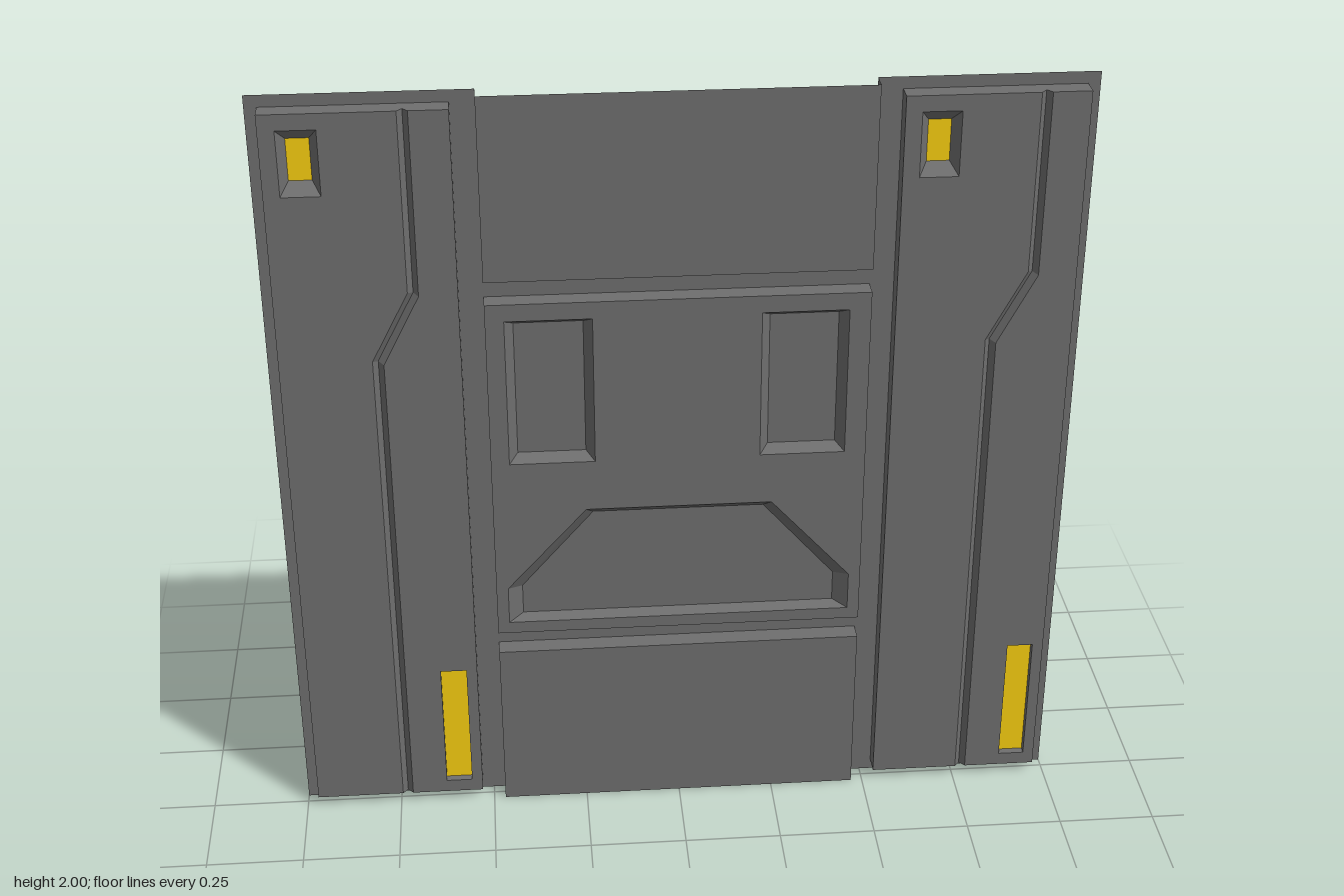
import * as THREE from 'three';

const BACK = -0.025, FRONT = 0.025; // depth of the frame and of the raised plates

const steel = new THREE.MeshStandardMaterial({ color: 0x6e6e6e, flatShading: true, side: THREE.DoubleSide });
const yellow = new THREE.MeshStandardMaterial({ color: 0xf5cc10, flatShading: true, side: THREE.DoubleSide });

const rect = (x0, y0, x1, y1) => [[x0, y0], [x1, y0], [x1, y1], [x0, y1]];
const atDepth = (pts, z) => pts.map(([x, y]) => [x, y, z]);

function add(group, name, geometry, material = steel) {
  const mesh = new THREE.Mesh(geometry, material);
  mesh.name = name;
  group.add(mesh);
}

// Flat sheet with optional holes
function sheet(group, name, pts, z, holes = [], material = steel) {
  const toVec = (list) => list.map(([x, y]) => new THREE.Vector2(x, y));
  const shape = new THREE.Shape(toVec(pts));
  shape.holes = holes.map((h) => new THREE.Path(toVec(h)));
  add(group, name, new THREE.ShapeGeometry(shape).translate(0, 0, z), material);
}

// Band of quads between two rows of 3D points
function loft(group, name, a, b, closed = true) {
  const pos = [];
  for (let i = 0; i < a.length - (closed ? 0 : 1); i++) {
    const j = (i + 1) % a.length;
    pos.push(...a[i], ...a[j], ...b[j], ...a[i], ...b[j], ...b[i]);
  }
  const g = new THREE.BufferGeometry();
  g.setAttribute('position', new THREE.Float32BufferAttribute(pos, 3));
  g.computeVertexNormals();
  add(group, name, g);
}

// Recess sunk into a plate: sloping sides and a floor
function recess(group, name, outer, inner, depth, material = steel) {
  loft(group, name + 'Sides', atDepth(outer, FRONT), atDepth(inner, FRONT - depth));
  sheet(group, name + 'Floor', inner, FRONT - depth, [], material);
}

function makePillar(name, x) {
  const g = new THREE.Group();
  g.name = name;
  g.position.x = x;
  const [l, r, b, t] = [-0.22, 0.22, 0.03, 1.97];

  // Bent V groove running from top to bottom
  const left = [[0.1, t], [0.1, 1.51], [0.006, 1.33], [0.006, b]];
  const mid = [[0.113, t], [0.113, 1.505], [0.019, 1.325], [0.019, b]];
  const right = [[0.126, t], [0.126, 1.5], [0.033, 1.32], [0.033, b]];
  const groove = atDepth(mid, FRONT - 0.015);
  loft(g, 'grooveLeft', atDepth(left, FRONT), groove, false);
  loft(g, 'grooveRight', groove, atDepth(right, FRONT), false);

  // Front plate on both sides of the groove, with openings for the lights
  const topLight = rect(-0.18, 1.765, -0.085, 1.93);
  const lowLight = rect(0.125, 0.065, 0.192, 0.418);
  sheet(g, 'plateLeft', [[l, b], ...[...left].reverse(), [l, t]], FRONT, [topLight]);
  sheet(g, 'plateRight', [[r, t], ...right, [r, b]], FRONT, [lowLight]);
  recess(g, 'topLight', topLight, rect(-0.16, 1.795, -0.105, 1.9), 0.03, yellow);
  recess(g, 'lowLight', lowLight, lowLight, 0.02, yellow);

  // Side walls, notched where the groove runs out
  const rim = [
    [l, b, FRONT], [...left[3], FRONT], groove[3], [...right[3], FRONT], [r, b, FRONT],
    [r, t, FRONT], [...right[0], FRONT], groove[0], [...left[0], FRONT], [l, t, FRONT],
  ];
  loft(g, 'pillarWalls', rim.map(([px, py]) => [px, py, BACK]), rim);
  return g;
}

function makeCentre() {
  const g = new THREE.Group();
  g.name = 'centrePanels';
  const w = 0.47;

  // Upper and lower plates, open at the outer ends
  const upper = [[-w, 2], [-w, 1.53], [w, 1.53], [w, 2]];
  const lower = [[w, 0], [w, 0.47], [-w, 0.47], [-w, 0]];
  for (const [name, pts] of [['upperPlate', upper], ['lowerPlate', lower]]) {
    sheet(g, name, pts, FRONT);
    loft(g, name + 'Walls', atDepth(pts, BACK), atDepth(pts, FRONT), false);
  }

  // Middle plate with two windows and a trapezoid recess
  const middle = rect(-w, 0.53, w, 1.47);
  const windows = [-0.317, 0.31].map((x) => ({
    outer: rect(x - 0.107, 1.03, x + 0.107, 1.425),
    inner: rect(x - 0.085, 1.048, x + 0.085, 1.407),
  }));
  const hood = (x0, x1, y0, y1, y2) => [[-x0, y0], [x0, y0], [x0, y1], [x1, y2], [-x1, y2], [-x0, y1]];
  const hoodOuter = hood(0.44, 0.235, 0.562, 0.665, 0.892);
  const hoodInner = hood(0.403, 0.217, 0.573, 0.655, 0.868);
  sheet(g, 'middlePlate', middle, FRONT, [hoodOuter, ...windows.map((o) => o.outer)]);
  loft(g, 'middleWalls', atDepth(middle, BACK), atDepth(middle, FRONT));
  windows.forEach((o) => recess(g, 'window', o.outer, o.inner, 0.03));
  recess(g, 'hoodRecess', hoodOuter, hoodInner, 0.03);
  return g;
}

// Thin frame behind the raised plates
function makeFrame() {
  const g = new THREE.Group();
  g.name = 'frame';
  for (const [x0, x1] of [[-1, -0.97], [-0.53, -0.47], [0.47, 0.53], [0.97, 1]])
    sheet(g, 'frameUpright', rect(x0, 0, x1, 2), BACK);
  for (const x of [-0.75, 0.75])
    for (const y of [0, 1.97]) sheet(g, 'frameEnd', rect(x - 0.22, y, x + 0.22, y + 0.03), BACK);
  for (const y of [0.47, 1.47]) sheet(g, 'frameRail', rect(-0.47, y, 0.47, y + 0.06), BACK);
  return g;
}

export function createModel() {
  const model = new THREE.Group();
  model.name = 'wallPanel';
  model.add(makeFrame(), makeCentre(), makePillar('rightPillar', -0.75), makePillar('leftPillar', 0.75));
  return model;
}
